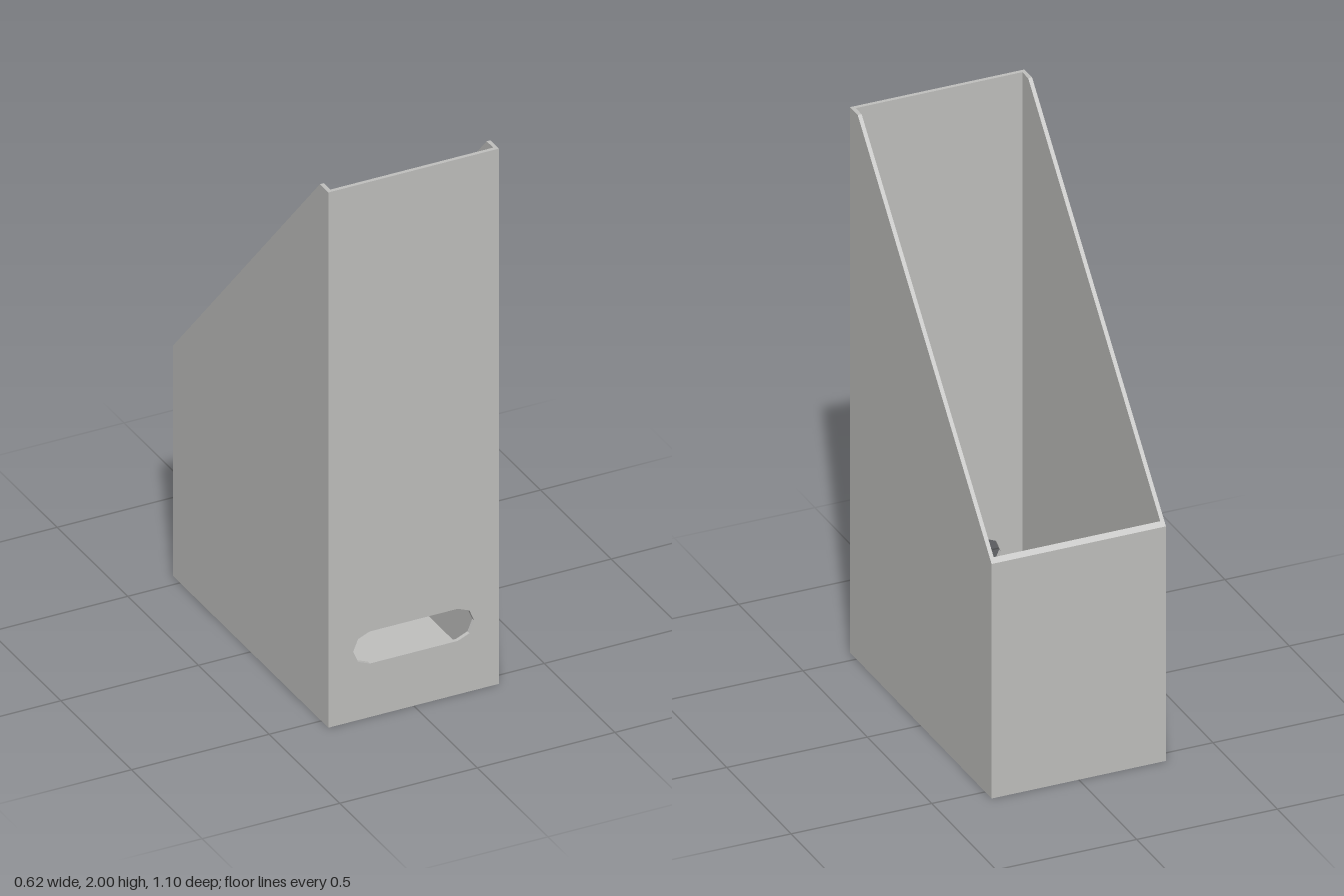
import * as THREE from 'three';

const W = 0.62, D = 1.1, H = 2, T = 0.014; // outer size and wall thickness
const BACK_H = 0.86, FLAT = 0.06;          // low back height, flat top of the sides
const SLOPE = (H - BACK_H) / (D - FLAT);

const shapeOf = (points) => new THREE.Shape(points.map(([a, b]) => new THREE.Vector2(a, b)));

// Extrude a (z, y) profile across x, centred on x
function acrossX(profile, width, x = 0) {
  const geometry = new THREE.ExtrudeGeometry(shapeOf(profile), { depth: width, bevelEnabled: false });
  return geometry.rotateY(-Math.PI / 2).translate(x + width / 2, 0, 0);
}

export function createModel() {
  const group = new THREE.Group();
  group.name = 'magazineFile';
  const grey = new THREE.MeshStandardMaterial({ color: 0xc0c0be });
  grey.name = 'lightGrey';
  const add = (name, geometry) => {
    const mesh = new THREE.Mesh(geometry, grey);
    mesh.name = name;
    group.add(mesh);
  };
  const z = D / 2, inner = W - 2 * T;

  // Side panels with the slanted top edge
  const side = [[-z, 0], [z, 0], [z, H], [z - FLAT, H], [-z, BACK_H]];
  add('leftSide', acrossX(side, T, (W - T) / 2));
  add('rightSide', acrossX(side, T, -(W - T) / 2));

  // Low back panel, its top cut along the slant
  add('backPanel', acrossX([[-z, 0], [-z + T, 0], [-z + T, BACK_H + T * SLOPE], [-z, BACK_H]], inner));

  // Floor
  add('floor', new THREE.BoxGeometry(inner, T, D - 2 * T).translate(0, T / 2, 0));

  // Tall front panel with a finger slot that has faceted round ends
  const front = shapeOf([[-inner / 2, 0], [inner / 2, 0], [inner / 2, H], [-inner / 2, H]]);
  const slot = [];
  for (const [cx, start] of [[0.16, -Math.PI / 2], [-0.16, Math.PI / 2]]) {
    for (let i = 0; i <= 4; i++) {
      const a = start + (i * Math.PI) / 4;
      slot.push(new THREE.Vector2(cx + 0.06 * Math.cos(a), 0.26 + 0.06 * Math.sin(a)));
    }
  }
  front.holes.push(new THREE.Path(slot));
  add('frontPanel', new THREE.ExtrudeGeometry(front, { depth: T, bevelEnabled: false }).translate(0, 0, z - T));

  return group;
}
